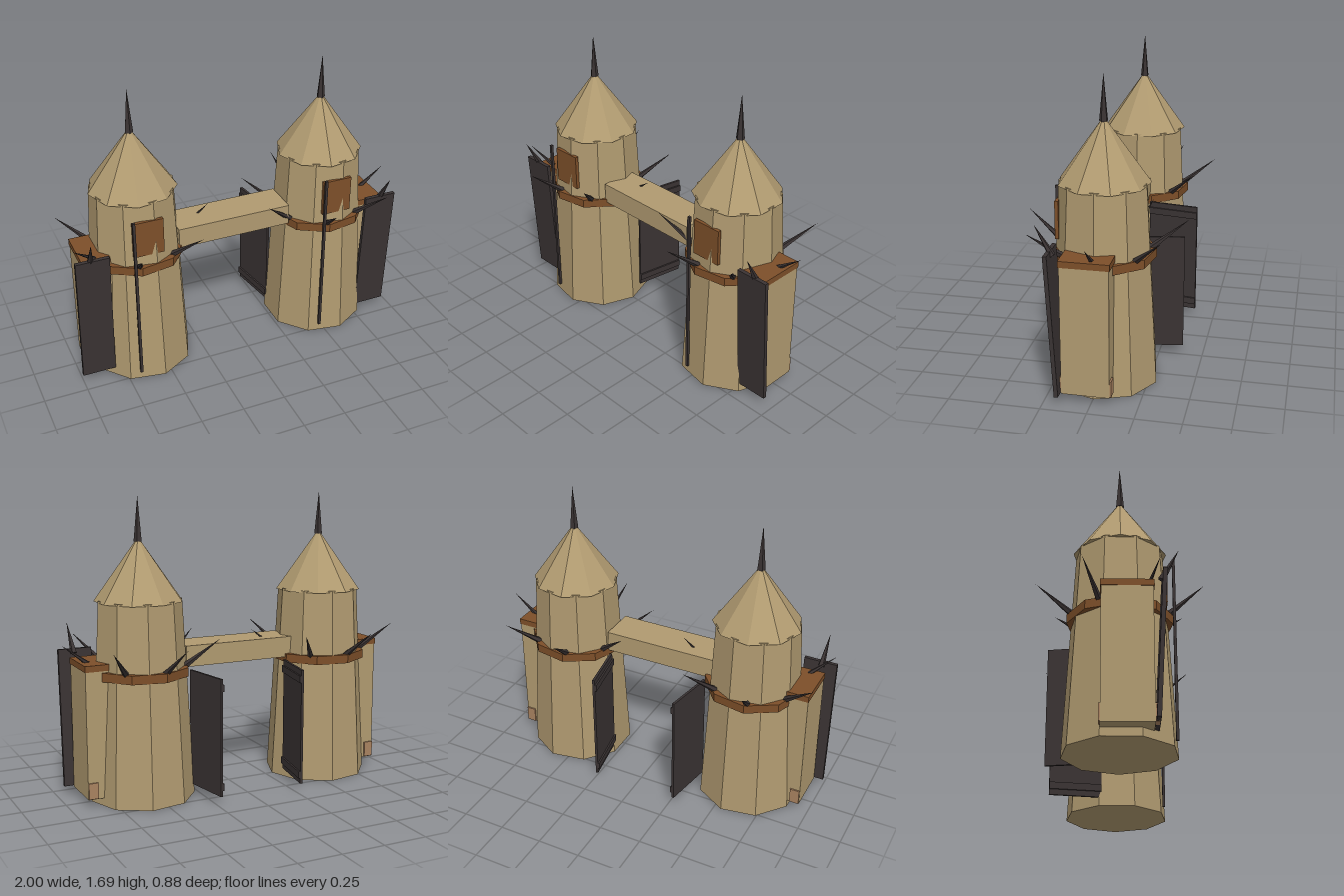
import * as THREE from 'three';

const flat = (name, color) => {
  const m = new THREE.MeshStandardMaterial({ color });
  m.flatShading = true;
  m.name = name;
  return m;
};

export function createModel() {
  const stone = flat('tan stone', 0xb09a70);
  const wood = flat('brown wood', 0x7d4f29);
  const iron = flat('dark iron', 0x3a3333);
  const footing = flat('reddish footing', 0xa98260);

  const add = (parent, name, geo, mat, x = 0, y = 0, z = 0) => {
    const mesh = new THREE.Mesh(geo, mat);
    mesh.name = name;
    mesh.position.set(x, y, z);
    parent.add(mesh);
    return mesh;
  };
  const box = (w, h, d) => new THREE.BoxGeometry(w, h, d);
  // nine-sided drum with one corner on +x (side 1) or -x (side -1)
  const drum = (top, bottom, h, side) =>
    new THREE.CylinderGeometry(top, bottom, h, 9, 1, false, side * Math.PI / 2);
  // five-sided spike between two points
  const spike = (parent, name, from, to, r) => {
    const a = new THREE.Vector3(...from), dir = new THREE.Vector3(...to).sub(a);
    const geo = new THREE.ConeGeometry(r, dir.length(), 5);
    geo.translate(0, dir.length() / 2, 0);
    const mesh = add(parent, name, geo, iron, ...from);
    mesh.quaternion.setFromUnitVectors(new THREE.Vector3(0, 1, 0), dir.normalize());
  };

  // s is the side facing away from the bridge
  function tower(s) {
    const g = new THREE.Group();
    g.name = s > 0 ? 'leftTower' : 'rightTower';

    add(g, 'towerBody', drum(0.238, 0.3, 1.125, 1), stone, 0, 0.5625, 0);
    add(g, 'roof', new THREE.ConeGeometry(0.25, 0.35, 9, 1, false, -Math.PI / 2), stone, 0, 1.29, 0);
    add(g, 'belt', drum(0.28, 0.28, 0.05, -1), wood, 0, 0.725, 0);
    spike(g, 'roofSpike', [0, 1.44, 0], [0, 1.69, 0], 0.024);

    // ring of spikes on the belt
    for (let i = 0; i < 7; i++) {
      const a = i * Math.PI * 2 / 7, c = Math.cos(a), n = Math.sin(a);
      spike(g, 'beltSpike', [c * 0.235, 0.735, n * 0.235], [c * 0.45, 0.9, n * 0.45], 0.02);
    }

    // shutter and pole on the front
    add(g, 'windowShutter', box(0.175, 0.21, 0.02), wood, 0.003, 0.915, 0.237);
    add(g, 'pole', box(0.015, 1, 0.015), iron, -0.088, 0.55, 0.28);

    // buttress with wooden cap and footing
    add(g, 'buttress', box(0.16, 0.72, 0.26), stone, s * 0.272, 0.405, 0.03);
    add(g, 'buttressCap', box(0.16, 0.035, 0.27), wood, s * 0.275, 0.778, 0.03);
    add(g, 'buttressFoot', box(0.055, 0.09, 0.29), footing, s * 0.323, 0.095, 0.036);

    // leaning plate with a spike at its top
    const plate = add(g, 'leaningPlate', box(0.192, 0.785, 0.022), iron, s * 0.31, 0.443, 0.195);
    plate.rotation.x = 0.055;
    spike(g, 'plateSpike', [s * 0.318, 0.81, 0.2], [s * 0.328, 0.975, 0.29], 0.02);

    // rear door swung open, with two cross rails
    const door = new THREE.Group();
    door.name = 'rearDoor';
    door.position.set(-s * 0.295, 0.383, -0.238);
    door.rotation.y = s * 0.168;
    add(door, 'doorPanel', box(0.014, 0.665, 0.3), iron);
    for (const y of [-0.28, 0.28])
      add(door, 'doorRail', box(0.012, 0.04, 0.3), iron, -s * 0.011, y, 0);
    g.add(door);
    return g;
  }

  const model = new THREE.Group();
  model.name = 'twinTowers';
  for (const [s, x] of [[1, 0.55], [-1, -0.595]]) {
    const t = tower(s);
    t.position.x = x;
    model.add(t);
  }
  add(model, 'bridge', box(0.68, 0.12, 0.215), stone, -0.037, 0.79, 0.027);
  return model;
}
